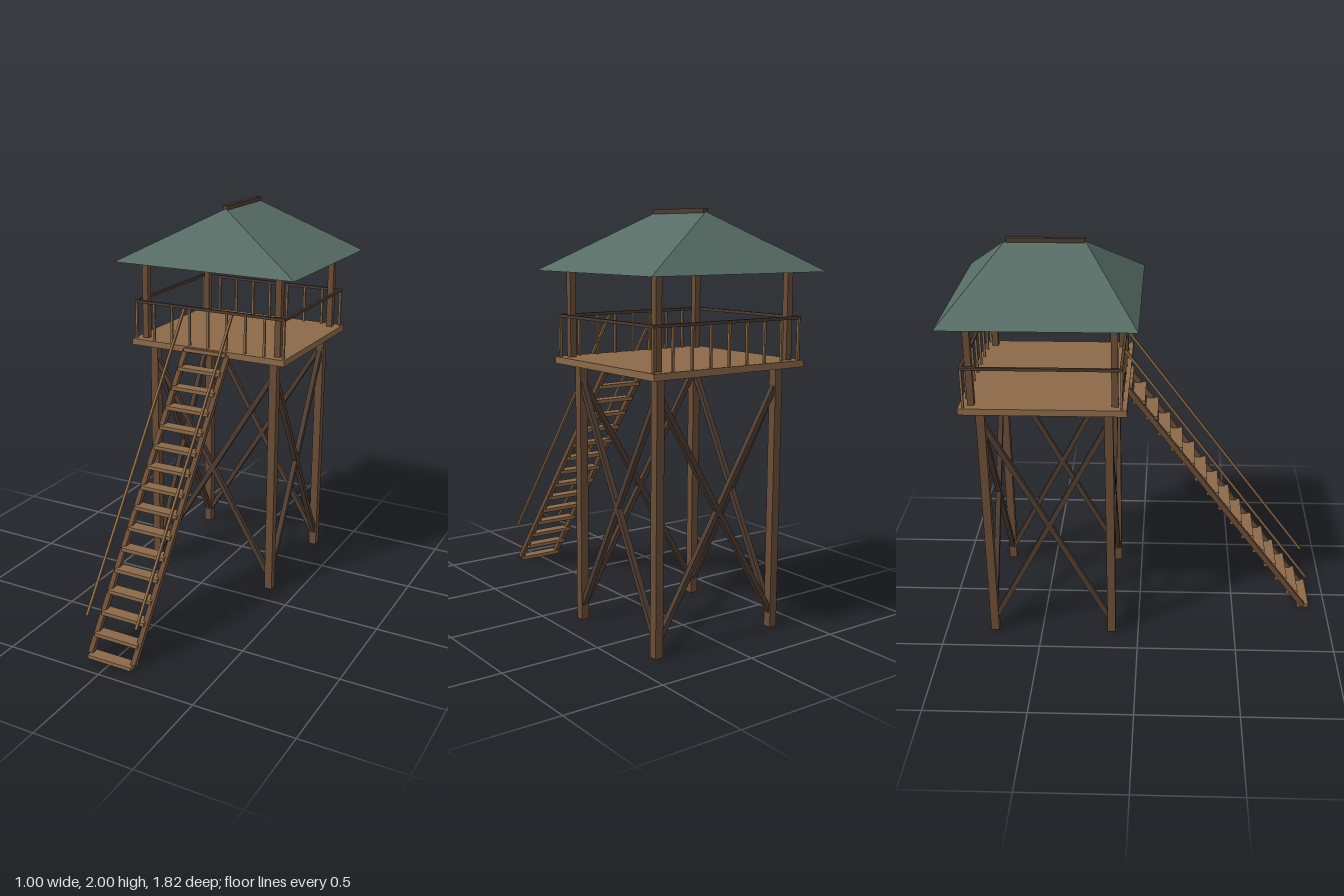
import * as THREE from 'three';

const mat = (name, color, extra = {}) => {
  const m = new THREE.MeshStandardMaterial({ color, ...extra });
  m.name = name;
  return m;
};

export function createModel() {
  const timber = mat('timber brown', 0x6a4c35);
  const plank = mat('plank tan', 0x8c6a48);
  const dark = mat('dark wood', 0x4d3c31);
  const green = mat('roof green', 0x566c64, { flatShading: true });

  const tower = new THREE.Group();
  tower.name = 'watchtower';
  const CZ = -0.4425; // centre of the tower in z

  const box = (name, m, w, h, d, x, y, z, parent = tower) => {
    const mesh = new THREE.Mesh(new THREE.BoxGeometry(w, h, d), m);
    mesh.name = name;
    mesh.position.set(x, y, z);
    parent.add(mesh);
    return mesh;
  };

  // Square beam between two points
  const beam = (name, m, a, b, w, d = w) => {
    const p = new THREE.Vector3(...a), q = new THREE.Vector3(...b);
    const mid = p.clone().add(q).multiplyScalar(0.5);
    const mesh = box(name, m, w, p.distanceTo(q), d, mid.x, mid.y, mid.z);
    mesh.quaternion.setFromUnitVectors(new THREE.Vector3(0, 1, 0), q.sub(p).normalize());
    return mesh;
  };

  // Legs and roof posts
  const LX = 0.345, LZ = 0.305;
  for (const sx of [-1, 1]) for (const sz of [-1, 1]) {
    box('leg', timber, 0.042, 1.28, 0.042, sx * LX, 0.64, CZ + sz * LZ);
    box('roofPost', timber, 0.032, 0.43, 0.032, sx * 0.378, 1.51, CZ + sz * 0.338);
  }

  // Crossed braces on all four sides
  const lo = 0.06, hi = 1.2;
  for (const s of [-1, 1]) for (const t of [-1, 1]) {
    beam('frontBackBrace', dark, [-t * LX, lo, CZ + s * LZ], [t * LX, hi, CZ + s * LZ], 0.026);
    beam('sideBrace', dark, [s * LX, lo, CZ - t * LZ], [s * LX, hi, CZ + t * LZ], 0.026);
  }

  // Deck
  box('deck', plank, 0.87, 0.032, 0.79, 0, 1.29, CZ);

  // Railing: top rails all round, balusters on front and back
  const RX = 0.42, RZ = 0.37, RY = 1.503;
  for (const s of [-1, 1]) {
    box('endRail', dark, 2 * RX + 0.014, 0.014, 0.014, 0, RY, CZ + s * RZ);
    box('sideRail', dark, 0.014, 0.014, 2 * RZ + 0.014, s * RX, RY, CZ);
    for (let i = -4; i <= 4; i++) {
      box('baluster', plank, 0.011, 0.2, 0.011, i * RX / 4, 1.4, CZ + s * RZ);
    }
  }

  // Stair: stringers, handrails and treads
  for (const s of [-1, 1]) {
    beam('stringer', timber, [s * 0.119, 0.015, 0.88], [s * 0.119, 1.29, -0.065], 0.026);
    beam('handrail', plank, [s * 0.136, 0.21, 0.88], [s * 0.136, 1.5, -0.075], 0.012);
  }
  const N = 16;
  for (let i = 0; i < N; i++) {
    const t = i / (N - 1);
    box('tread', plank, 0.238, 0.019, 0.063, 0, 0.0105 + t * 1.28, 0.88 - t * 0.945);
  }

  // Hipped roof: the top of a box is pinched into a ridge
  const roofGeo = new THREE.BoxGeometry(1, 0.27, 0.914);
  const p = roofGeo.attributes.position;
  for (let i = 0; i < p.count; i++) {
    if (p.getY(i) > 0) p.setXYZ(i, 0, p.getY(i), Math.sign(p.getZ(i)) * 0.19);
  }
  roofGeo.computeVertexNormals();
  const roof = new THREE.Mesh(roofGeo, green);
  roof.name = 'roof';
  roof.position.set(0, 1.85, -0.448);
  tower.add(roof);
  box('ridgeCap', dark, 0.024, 0.024, 0.378, 0, 1.988, -0.448);

  return tower;
}
